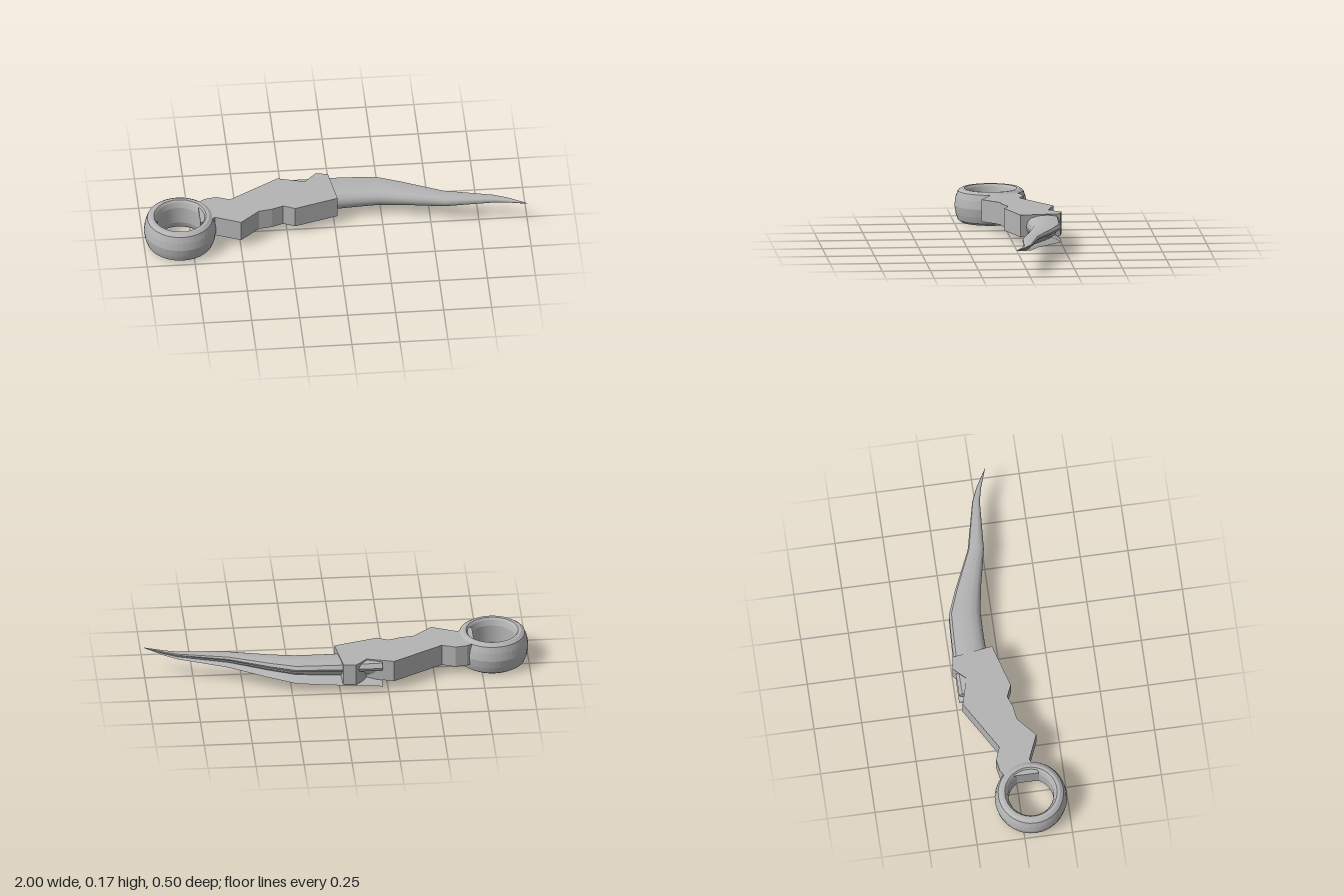
import * as THREE from 'three';
import { toCreasedNormals } from 'three/addons/utils/BufferGeometryUtils.js';

// Blade stations: x, back z, front z, bottom y, top y
const STATIONS = [
  [-0.22, -0.235, -0.03, 0.02, 0.163],
  [0.0, -0.235, -0.06, 0.036, 0.16],
  [0.1, -0.232, -0.062, 0.042, 0.159],
  [0.23, -0.226, -0.06, 0.052, 0.157],
  [0.36, -0.175, -0.04, 0.064, 0.153],
  [0.57, -0.08, 0.005, 0.084, 0.148],
  [0.83, -0.02, 0.02, 0.112, 0.144],
  [0.9, 0.01, 0.036, 0.122, 0.143],
  [1.0, 0.069, 0.071, 0.139, 0.141],
];

// Cross-section (back to front, bottom to top): round front, grooved back
const SECTION = [
  [0, 0.04], [0.35, 0], [0.7, 0.03], [0.88, 0.16], [0.97, 0.36], [1, 0.55],
  [0.96, 0.75], [0.85, 0.9], [0.65, 0.98], [0.35, 1], [0.08, 0.94], [0, 0.78],
  [0.03, 0.66], [0.17, 0.55], [0.2, 0.42], [0.32, 0.28], [0.15, 0.18],
];

function bladeGeometry() {
  const n = SECTION.length;
  const positions = [];
  const index = [];
  for (const [x, zb, zf, yb, yt] of STATIONS) {
    for (const [u, v] of SECTION) positions.push(x, yb + (yt - yb) * v, zb + (zf - zb) * u);
  }
  for (let s = 0; s < STATIONS.length - 1; s++) {
    for (let i = 0; i < n; i++) {
      const a = s * n + i, b = s * n + (i + 1) % n;
      index.push(a, a + n, b, b, a + n, b + n);
    }
  }
  // End caps
  const last = (STATIONS.length - 1) * n;
  const outline = SECTION.map(([u, v]) => new THREE.Vector2(u, v));
  for (const [a, b, c] of THREE.ShapeUtils.triangulateShape(outline, [])) {
    index.push(a, b, c, last + a, last + c, last + b);
  }
  const g = new THREE.BufferGeometry();
  g.setAttribute('position', new THREE.Float32BufferAttribute(positions, 3));
  g.setIndex(index);
  return toCreasedNormals(g, 0.65);
}

export function createModel() {
  const model = new THREE.Group();
  const steel = new THREE.MeshStandardMaterial({ color: 0xb4b4b4, side: THREE.DoubleSide });
  steel.name = 'grey steel';

  const add = (name, geometry) => {
    const mesh = new THREE.Mesh(geometry, steel);
    mesh.name = name;
    model.add(mesh);
    return mesh;
  };

  // Faceted handle slab, outline given as x, z
  const outline = [
    [-0.71, 0.115], [-0.71, -0.06], [-0.67, -0.085], [-0.61, -0.096], [-0.54, -0.07],
    [-0.28, -0.225], [-0.14, -0.187], [-0.08, -0.25], [-0.015, -0.24], [0.016, -0.03],
    [-0.21, 0.037], [-0.27, 0.01], [-0.33, 0.032], [-0.4, 0.043], [-0.5, 0.13], [-0.63, 0.075],
  ];
  const shape = new THREE.Shape(outline.map(([x, z]) => new THREE.Vector2(x, -z)));
  const slab = new THREE.ExtrudeGeometry(shape, { depth: 0.116, bevelEnabled: false });
  slab.rotateX(-Math.PI / 2);
  add('handle', slab).position.y = 0.049;

  // Finger ring with a bulging wall
  const profile = [
    [0.118, 0.04], [0.127, 0.012], [0.136, 0], [0.152, 0], [0.17, 0.012], [0.182, 0.045],
    [0.188, 0.088], [0.182, 0.13], [0.17, 0.163], [0.152, 0.175], [0.136, 0.175],
    [0.127, 0.163], [0.118, 0.135], [0.118, 0.04],
  ].map(([r, y]) => new THREE.Vector2(r, y));
  const ring = toCreasedNormals(new THREE.LatheGeometry(profile, 36), 0.25);
  add('fingerRing', ring).position.set(-0.812, 0, 0.058);

  // Curved tapering blade running under the handle
  add('blade', bladeGeometry());

  return model;
}
